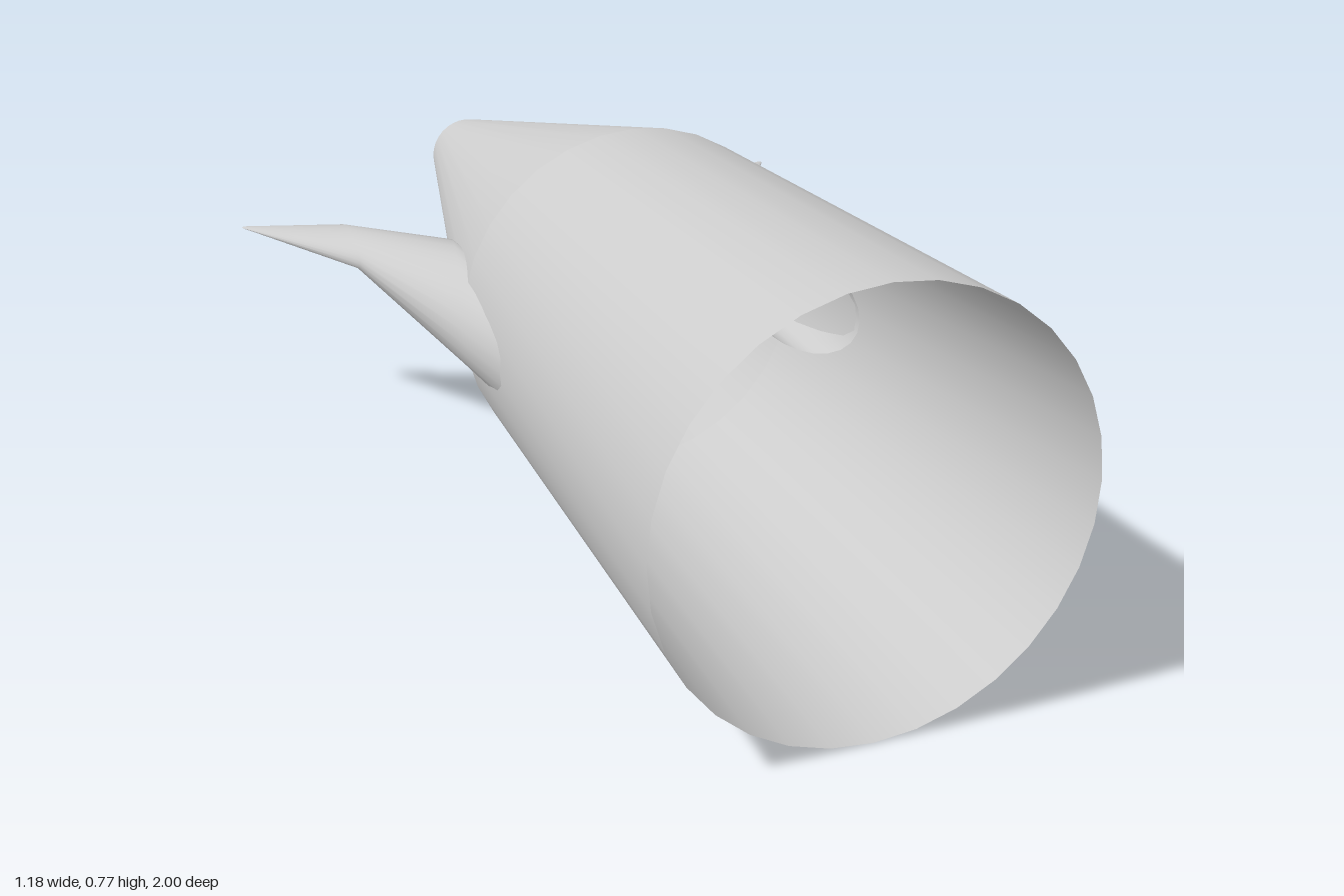
import * as THREE from 'three';

const AXIS_Y = 0.387;
const material = new THREE.MeshStandardMaterial({ color: 0xcccccc, side: THREE.DoubleSide });

// Open tapered tube along z, from zFront to zBack
function shell(name, rFront, rBack, zFront, zBack) {
  const geo = new THREE.CylinderGeometry(rFront, rBack, zFront - zBack, 32, 1, true);
  geo.rotateX(Math.PI / 2);
  const mesh = new THREE.Mesh(geo, material);
  mesh.name = name;
  mesh.position.set(0, AXIS_Y, (zFront + zBack) / 2);
  return mesh;
}

// Horn cross-sections, base to tip: outer edge [x, z], inner edge [x, z], half height
const sections = [
  { outer: [0.345, 0.26], inner: [0.225, 0.0], h: 0.097 },
  { outer: [0.363, 0.1], inner: [0.245, -0.35], h: 0.088 },
  { outer: [0.422, -0.38], inner: [0.4, -0.6], h: 0.028 },
  { outer: [0.588, -0.68], inner: [0.582, -0.687], h: 0.001 },
];

// Horn lofted through the elliptical sections; more rows give a smoother bend
function horn(name, side, rows) {
  const curve = (f) => new THREE.CatmullRomCurve3(sections.map(f), false, 'centripetal');
  const outer = curve((s) => new THREE.Vector3(s.outer[0], s.h, s.outer[1]));
  const inner = curve((s) => new THREE.Vector3(s.inner[0], s.h, s.inner[1]));
  const n = 24, pos = [], idx = [];
  for (let i = 0; i <= rows; i++) {
    const o = outer.getPoint(i / rows), p = inner.getPoint(i / rows);
    for (let j = 0; j < n; j++) {
      const a = (j / n) * Math.PI * 2, c = Math.cos(a) / 2;
      pos.push(
        side * ((o.x + p.x) / 2 + c * (o.x - p.x)),
        AXIS_Y + Math.sin(a) * Math.max(0.001, (o.y + p.y) / 2),
        (o.z + p.z) / 2 + c * (o.z - p.z)
      );
      if (i === rows) continue;
      const k = (j + 1) % n;
      const A = i * n + j, B = i * n + k, C = A + n, D = B + n;
      if (side > 0) idx.push(A, C, B, B, C, D);
      else idx.push(A, B, C, B, D, C);
    }
  }
  const geo = new THREE.BufferGeometry();
  geo.setAttribute('position', new THREE.Float32BufferAttribute(pos, 3));
  geo.setIndex(idx);
  geo.computeVertexNormals();
  const mesh = new THREE.Mesh(geo, material);
  mesh.name = name;
  return mesh;
}

export function createModel() {
  const model = new THREE.Group();
  model.name = 'hornedTube';
  // Main body: slightly flared barrel and a long tapering rear
  model.add(shell('barrel', 0.385, 0.335, 1, 0));
  model.add(shell('taperedRear', 0.335, 0.077, 0, -1));
  // Curved side horns, the right one with a coarser bend
  model.add(horn('leftHorn', 1, 15));
  model.add(horn('rightHorn', -1, 3));
  return model;
}
